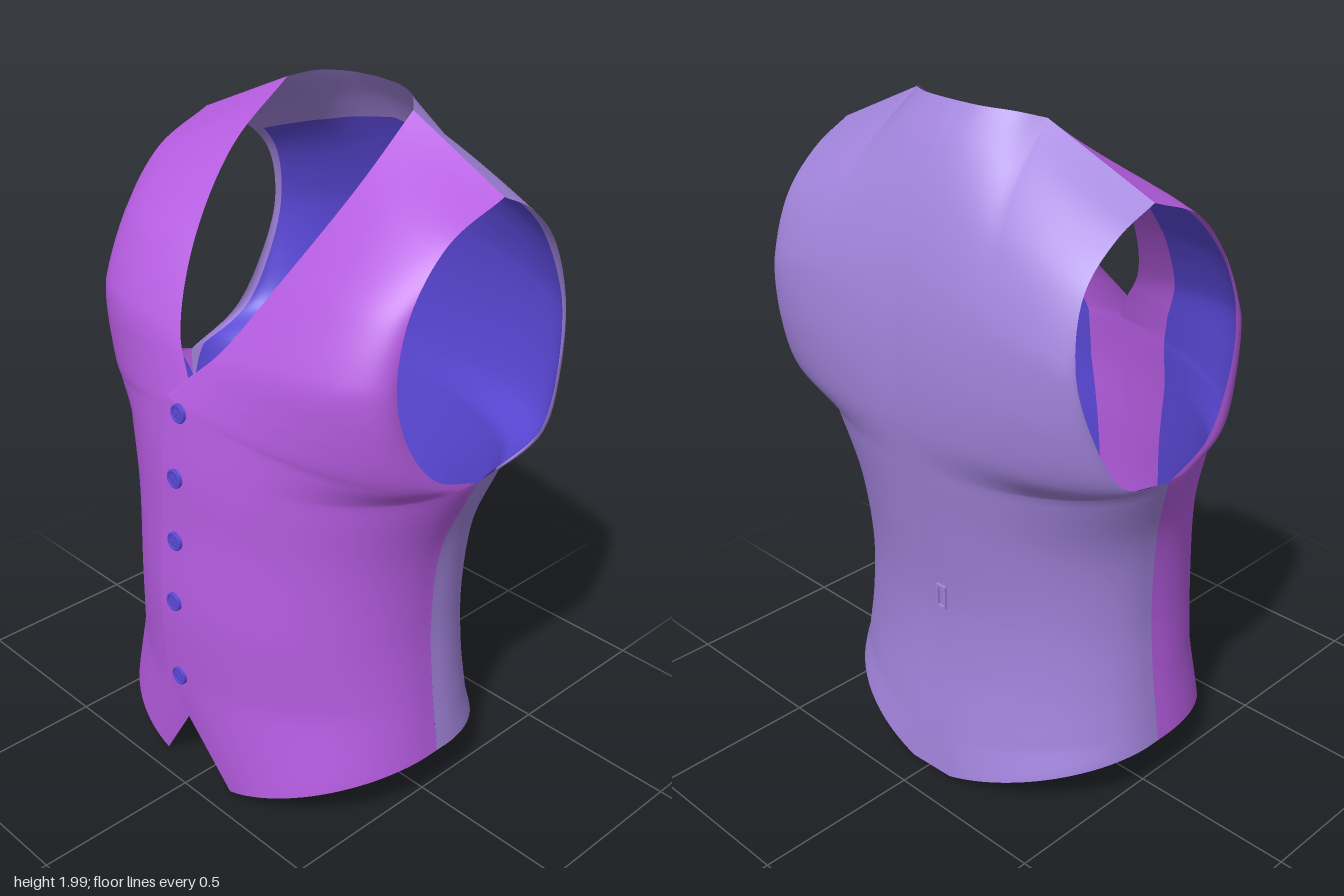
import * as THREE from 'three';

const material = (color) => new THREE.MeshStandardMaterial({ color, side: THREE.DoubleSide });
const frontCloth = material(0xb55ce0);
const backCloth = material(0xa284dc);
const liningCloth = material(0x5b48d8);
const lerp = THREE.MathUtils.lerp;

// Edge made of smooth pieces that meet at corners; s counts points along it
function edge(points, corners) {
  const v = points.map((p) => new THREE.Vector3(...p));
  const stops = [0, ...corners, v.length - 1];
  const curves = stops.slice(1).map((e, i) => new THREE.CatmullRomCurve3(v.slice(stops[i], e + 1)));
  return (s) => {
    let i = 0;
    while (i < curves.length - 1 && s > stops[i + 1]) i++;
    const t = (s - stops[i]) / (stops[i + 1] - stops[i]);
    return curves[i].getPoint(THREE.MathUtils.clamp(t, 0, 1));
  };
}

function sample(values, s) {
  const i = Math.min(Math.floor(s), values.length - 2);
  return lerp(values[i], values[i + 1], s - i);
}

// Cloth between an inner and an outer edge: roundness 1 is a quarter ellipse, 0 is straight
function panel(inner, outer, roundness, bulge) {
  return (s, t) => {
    const a = inner(s), b = outer(s), k = sample(roundness, s), q = t * Math.PI / 2;
    const fx = Math.min(lerp(t, Math.sin(q), k), 1);
    const fz = lerp(t, 1 - Math.cos(q), k);
    return new THREE.Vector3(lerp(a.x, b.x, fx), lerp(a.y, b.y, fx),
      lerp(a.z, b.z, fz) + sample(bulge, s) * Math.sin(Math.PI * t));
  };
}

// Grid surface of f(s, t), moved along its normals by offset
function surface(f, rows, cols, flip, offset = 0) {
  const pos = [], index = [], w = cols + 1;
  for (let i = 0; i <= rows; i++)
    for (let j = 0; j <= cols; j++) pos.push(...f(i / rows, j / cols).toArray());
  for (let i = 0; i < rows; i++)
    for (let j = 0; j < cols; j++) {
      const a = i * w + j, b = a + 1, c = a + w, d = c + 1;
      index.push(...(flip ? [a, d, b, a, c, d] : [a, b, d, a, d, c]));
    }
  const g = new THREE.BufferGeometry();
  g.setAttribute('position', new THREE.Float32BufferAttribute(pos, 3));
  g.setIndex(index);
  g.computeVertexNormals();
  if (offset) {
    const p = g.attributes.position, n = g.attributes.normal;
    for (let i = 0; i < p.count; i++)
      p.setXYZ(i, p.getX(i) + n.getX(i) * offset, p.getY(i) + n.getY(i) * offset, p.getZ(i) + n.getZ(i) * offset);
    g.computeVertexNormals();
  }
  return g;
}

// Side seam, front of the armhole and shoulder tip
const frontOuter = edge([[.55, .18, 0], [.522, .38, 0], [.505, .6, 0], [.52, .85, -.01], [.59, 1.065, -.06],
  [.585, 1.13, .1], [.57, 1.26, .195], [.56, 1.42, .23], [.553, 1.6, .185], [.555, 1.75, .06], [.565, 1.83, -.13]], [4]);
const frontRound = [1.1, 1.1, 1.1, 1.1, 1.1, 1.1, 1.05, 1, .7, .3, 0];
const frontBulge = [0, 0, 0, 0, 0, 0, .01, .02, .03, .02, 0];

// Overlapping left edge and tucked right edge, both running up into the neckline
const leftFront = panel(edge([[.13, .02, .435], [-.1, .32, .465], [-.1, .6, .475], [-.1, .85, .46], [-.1, 1.05, .45],
  [-.1, 1.24, .428], [-.04, 1.3, .405], [.06, 1.4, .365], [.165, 1.6, .24], [.24, 1.82, .05], [.235, 1.975, -.15]],
[1, 5, 6]), frontOuter, frontRound, frontBulge);
const rightFront = panel(edge([[.165, .01, .43], [.01, .25, .45], [0, .6, .46], [0, .85, .447], [0, 1.05, .435],
  [0, 1.22, .418], [.04, 1.3, .395], [.11, 1.4, .36], [.19, 1.6, .24], [.24, 1.82, .05], [.235, 1.975, -.15]],
[1, 5, 6]), frontOuter, frontRound, frontBulge);

// Back: notched hem, centre line, back of the armhole
const backHalf = panel(edge([[.065, .01, -.4], [0, .13, -.39], [0, .4, -.367], [0, .6, -.37], [0, .85, -.405],
  [0, 1.05, -.44], [0, 1.2, -.463], [0, 1.42, -.465], [0, 1.62, -.435], [0, 1.8, -.375], [0, 1.92, -.315], [0, 2, -.255]], [1]),
edge([[.55, .18, 0], [.54, .25, 0], [.52, .4, 0], [.505, .6, 0], [.52, .85, -.01],
  [.59, 1.065, -.06], [.615, 1.14, -.27], [.597, 1.3, -.365], [.573, 1.48, -.405], [.554, 1.66, -.36],
  [.557, 1.77, -.25], [.565, 1.83, -.13]], [5]),
[1.1, 1.1, 1.1, 1.1, 1.1, 1.1, 1.05, 1, .9, .6, .3, 0], [0, 0, 0, 0, 0, 0, -.01, -.02, -.025, -.02, -.01, 0]);

// Neck curve followed by the shoulder seam
const backTop = edge([[0, 2, -.255], [.1, 1.998, -.244], [.18, 1.992, -.205], [.235, 1.975, -.15], [.565, 1.83, -.13]], [3]);
function back(s, t) {
  const u = Math.abs(t), p = backHalf(s, u);
  if (s > 8) {
    const target = backTop(u < .4 ? u / .4 * 3 : 3 + (u - .4) / .6);
    p.addScaledVector(target.sub(backHalf(11, u)), ((s - 8) / 3) ** 2);
  }
  if (t < 0) p.x *= -1;
  return p;
}

// Lining stops short of the armhole but meets the side seam
const liningReach = (s, arm) => lerp(1, .88, THREE.MathUtils.smoothstep(s, arm - .5, arm + .5));

export function createModel() {
  const vest = new THREE.Group();
  vest.name = 'waistcoat';
  const add = (name, geometry, mat, parent = vest) => {
    const mesh = new THREE.Mesh(geometry, mat);
    mesh.name = name;
    parent.add(mesh);
    return mesh;
  };

  // Front panels with their linings
  for (const [side, f, sign] of [['left', leftFront, 1], ['right', rightFront, -1]]) {
    const at = (s, t) => {
      const p = f(s, t);
      p.x *= sign;
      return p;
    };
    add(side + 'Front', surface((u, v) => at(u * 10, v), 80, 32, sign < 0), frontCloth);
    add(side + 'FrontLining', surface((u, v) => {
      const s = lerp(.5, 9.5, u);
      return at(s, lerp(.2, liningReach(s, 4), v));
    }, 72, 28, sign < 0, -.008), liningCloth);
  }

  // Back panel and lining
  add('back', surface((u, v) => back(u * 11, v * 2 - 1), 88, 60, true), backCloth);
  add('backLining', surface((u, v) => {
    const s = lerp(1.15, 9.6, u);
    return back(s, (v * 2 - 1) * liningReach(s, 5));
  }, 72, 60, true, -.008), liningCloth);

  // Waist strap and its buckle
  add('backStrap', surface((u, v) => back(lerp(3, 3.22, u), lerp(-.38, .38, v)), 3, 32, true, .006), backCloth);
  const frame = new THREE.Shape([[-.018, -.036], [.018, -.036], [.018, .036], [-.018, .036]].map((p) => new THREE.Vector2(...p)));
  frame.holes.push(new THREE.Path([[-.012, -.03], [-.012, .03], [.012, .03], [.012, -.03]].map((p) => new THREE.Vector2(...p))));
  const buckle = add('strapBuckle', new THREE.ExtrudeGeometry(frame, { depth: .008, bevelEnabled: false }), backCloth);
  buckle.position.set(-.06, .628, -.388);

  // Buttons: disc, raised rim and crossed thread
  for (const y of [1.21, 1.02, .825, .63, .37]) {
    let s = 1;
    while (leftFront(s, .08).y < y) s += .01;
    const button = new THREE.Group();
    button.name = 'button';
    button.position.set(-.04, y, leftFront(s, .08).z + .003);
    add('buttonDisc', new THREE.CylinderGeometry(.026, .028, .01, 20).rotateX(Math.PI / 2), liningCloth, button);
    add('buttonRim', new THREE.TorusGeometry(.024, .004, 6, 20), liningCloth, button).position.z = .004;
    for (const turn of [-1, 1])
      add('buttonThread', new THREE.BoxGeometry(.022, .004, .004), liningCloth, button)
        .rotation.z = turn * Math.PI / 4;
    button.children.slice(2).forEach((thread) => { thread.position.z = .006; });
    vest.add(button);
  }
  return vest;
}
